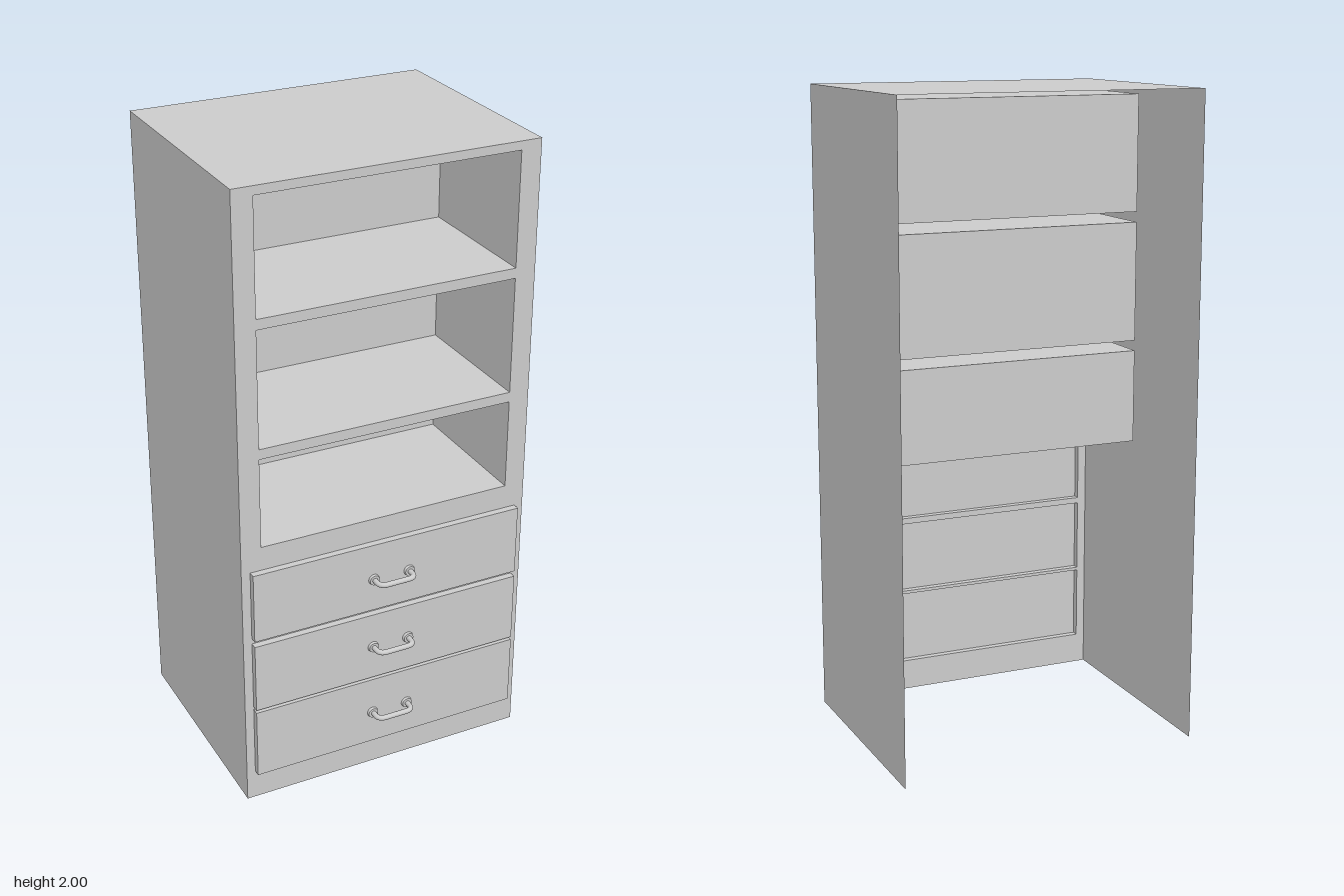
import * as THREE from 'three';

const sheet = new THREE.MeshStandardMaterial({ color: 0xcccccc, side: THREE.DoubleSide });
const metal = new THREE.MeshStandardMaterial({ color: 0xcccccc });

const W = 0.95, H = 2, BACK = -0.41, FRONT = 0.33;
const NICHE_BACK = -0.128, DRAWER_FRONT = 0.352;

// openings as [half width, bottom, top]
const niches = [[0.41, 1.618, 1.973], [0.41, 1.218, 1.586], [0.41, 0.897, 1.186]];
const drawers = [[0.447, 0.591, 0.82], [0.447, 0.342, 0.572], [0.447, 0.098, 0.332]];
const handleHeights = [0.7, 0.456, 0.209];

function addMesh(parent, name, geometry, material) {
  const mesh = new THREE.Mesh(geometry, material);
  mesh.name = name;
  parent.add(mesh);
  return mesh;
}

// thin-walled box; face order for skipping: +x, -x, +y, -y, +z, -z
function openBox(halfW, y0, y1, z0, z1, skip) {
  const g = new THREE.BoxGeometry(halfW * 2, y1 - y0, z1 - z0);
  g.translate(0, (y0 + y1) / 2, (z0 + z1) / 2);
  g.setIndex(Array.from(g.index.array).filter((_, i) => !skip.includes(Math.floor(i / 6))));
  g.clearGroups();
  return g;
}

function rectangle(path, halfW, y0, y1) {
  path.moveTo(-halfW, y0);
  path.lineTo(halfW, y0);
  path.lineTo(halfW, y1);
  path.lineTo(-halfW, y1);
  path.closePath();
  return path;
}

// bent bar pull on two round feet, centred on its own origin at the drawer face
function createHandle() {
  const handle = new THREE.Group();
  handle.name = 'handle';
  const half = 0.06, reach = 0.044, bend = 0.024;
  const p = (x, z) => new THREE.Vector3(x, 0, z);
  const path = new THREE.CurvePath();
  path.add(new THREE.LineCurve3(p(-half, 0), p(-half, reach - bend)));
  path.add(new THREE.QuadraticBezierCurve3(p(-half, reach - bend), p(-half, reach), p(bend - half, reach)));
  path.add(new THREE.LineCurve3(p(bend - half, reach), p(half - bend, reach)));
  path.add(new THREE.QuadraticBezierCurve3(p(half - bend, reach), p(half, reach), p(half, reach - bend)));
  path.add(new THREE.LineCurve3(p(half, reach - bend), p(half, 0)));
  addMesh(handle, 'handleBar', new THREE.TubeGeometry(path, 48, 0.0085, 14), metal);
  for (const side of [-1, 1]) {
    const foot = addMesh(handle, 'handleFoot', new THREE.CylinderGeometry(0.016, 0.018, 0.008, 24), metal);
    foot.rotation.x = Math.PI / 2;
    foot.position.set(side * half, 0, 0.004);
  }
  return handle;
}

export function createModel() {
  const cabinet = new THREE.Group();
  cabinet.name = 'cabinet';

  // sides and top, open at the back and underneath
  addMesh(cabinet, 'carcass', openBox(W / 2, 0, H, BACK, FRONT, [3, 4, 5]), sheet);

  // front frame with all openings cut out
  const face = rectangle(new THREE.Shape(), W / 2, 0, H);
  for (const o of [...niches, ...drawers]) face.holes.push(rectangle(new THREE.Path(), ...o));
  addMesh(cabinet, 'frontFrame', new THREE.ShapeGeometry(face).translate(0, 0, FRONT), sheet);

  // shelf niches run inward, drawer fronts stand slightly proud
  for (const o of niches) addMesh(cabinet, 'shelfNiche', openBox(...o, NICHE_BACK, FRONT, [4]), sheet);
  drawers.forEach((o, i) => {
    const drawer = new THREE.Group();
    drawer.name = 'drawer';
    addMesh(drawer, 'drawerFront', openBox(...o, FRONT, DRAWER_FRONT, [5]), sheet);
    const handle = createHandle();
    handle.position.set(0.008, handleHeights[i], DRAWER_FRONT);
    drawer.add(handle);
    cabinet.add(drawer);
  });
  return cabinet;
}
